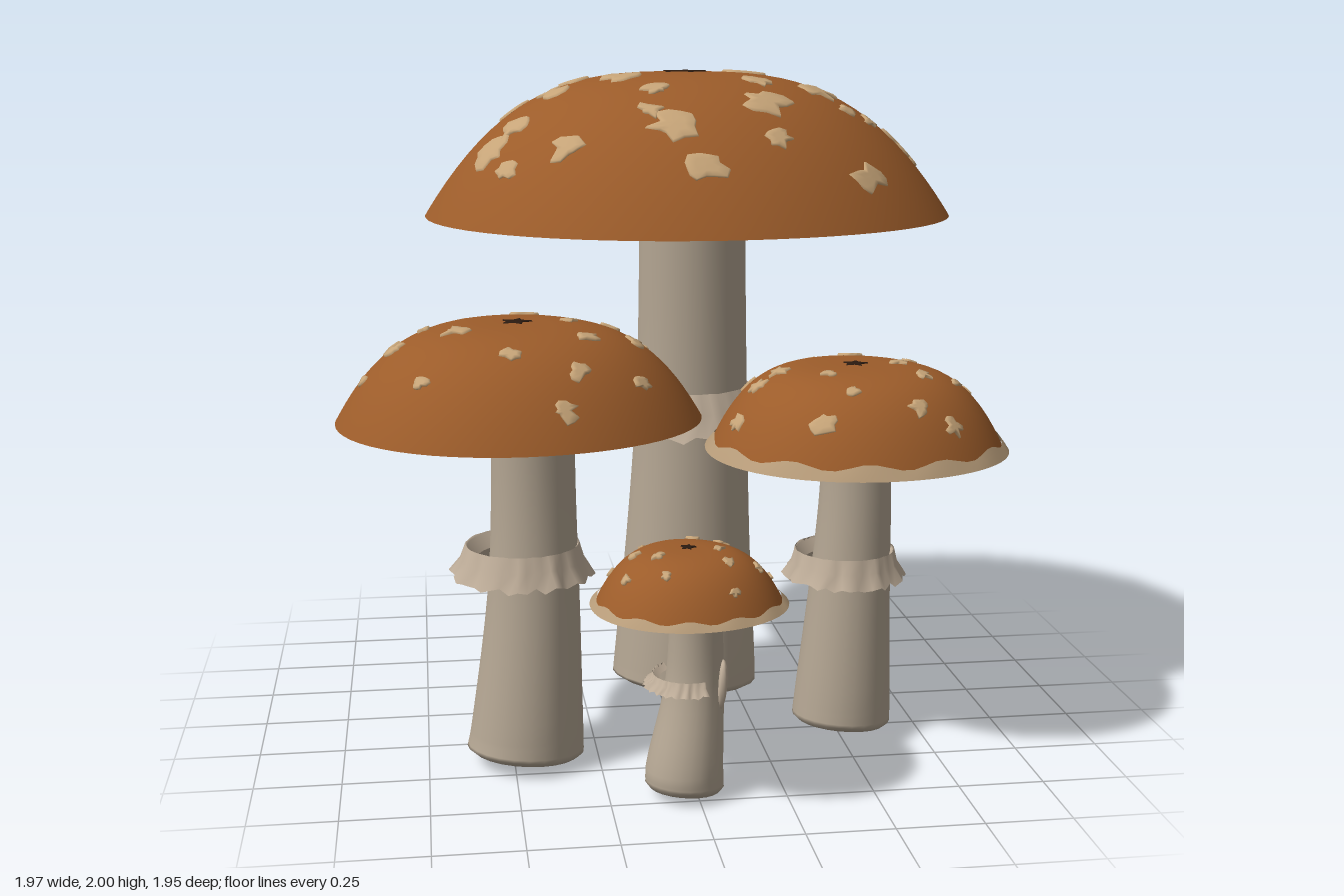
import * as THREE from 'three';
import { mergeGeometries } from 'three/addons/utils/BufferGeometryUtils.js';

const TAU = Math.PI * 2;
const mat = (color, side = THREE.FrontSide) => new THREE.MeshStandardMaterial({ color, side });
const MATS = {
  cap: mat(0x9c5c2a),
  under: mat(0xb3a796),
  stem: mat(0xb3a592),
  ring: mat(0xbcab97, THREE.DoubleSide),
  wart: mat(0xc6a478, THREE.DoubleSide),
  rim: mat(0xb59a78, THREE.DoubleSide),
  dark: mat(0x2a1a10, THREE.DoubleSide),
};

let seed = 7;
const rand = () => (seed = (seed * 16807) % 2147483647) / 2147483647;
const range = (a, b) => a + (b - a) * rand();

// Skin of rows (v, bottom to top) and columns (u, around); fn(u, v) gives [x, y, z]
function skin(cols, rows, fn, closed = true) {
  const pos = [], index = [];
  const n = closed ? cols : cols + 1;
  for (let j = 0; j <= rows; j++)
    for (let i = 0; i < n; i++) pos.push(...fn(i / cols, j / rows, i, j));
  for (let j = 0; j < rows; j++)
    for (let i = 0; i < cols; i++) {
      const k = (i + 1) % n;
      const a = j * n + i, b = j * n + k, c = a + n, d = b + n;
      index.push(a, c, b, b, c, d);
    }
  const g = new THREE.BufferGeometry();
  g.setAttribute('position', new THREE.Float32BufferAttribute(pos, 3));
  g.setIndex(index);
  g.computeVertexNormals();
  return g;
}

function add(group, name, geometry, material) {
  const mesh = new THREE.Mesh(geometry, material);
  mesh.name = name;
  group.add(mesh);
}

// c: cap centre and rim height, R and H: cap size, p: roundness, stem rows: [x, y, z, radius]
const MUSHROOMS = [
  { name: 'largeMushroom', c: [0.081, 1.56, -0.161], R: 0.81, H: 0.433, p: 3.05, warts: 38,
    stem: [[0.09, 0.035, -0.185, 0.235], [0.092, 0.1, -0.185, 0.232], [0.103, 0.5, -0.19, 0.202], [0.115, 1, -0.195, 0.178], [0.115, 1.7, -0.195, 0.165]],
    ring: { c: [0.085, -0.19], y0: 0.88, y1: 1.01, inner: 0.175, top: 0.21, bottom: 0.29 } },
  { name: 'leftMushroom', c: [-0.475, 1.04, 0.395], R: 0.517, H: 0.272, p: 3.45, warts: 20,
    stem: [[-0.465, 0.035, 0.38, 0.172], [-0.46, 0.1, 0.38, 0.166], [-0.435, 0.5, 0.365, 0.135], [-0.43, 0.8, 0.355, 0.123], [-0.43, 1.13, 0.355, 0.12]],
    ring: { c: [-0.465, 0.37], y0: 0.57, y1: 0.66, inner: 0.13, top: 0.165, bottom: 0.205 } },
  { name: 'rightMushroom', c: [0.53, 0.9, 0.3], R: 0.437, H: 0.25, p: 4, warts: 18, paleRim: true,
    stem: [[0.517, 0.035, 0.26, 0.15], [0.52, 0.1, 0.26, 0.147], [0.54, 0.5, 0.255, 0.12], [0.55, 0.75, 0.255, 0.108], [0.547, 0.99, 0.255, 0.1]],
    ring: { c: [0.515, 0.275], y0: 0.495, y1: 0.58, inner: 0.12, top: 0.15, bottom: 0.182 } },
  { name: 'smallMushroom', c: [-0.028, 0.567, 0.7], R: 0.262, H: 0.155, p: 3.6, warts: 14, paleRim: true,
    stem: [[-0.035, 0.03, 0.69, 0.112], [-0.035, 0.08, 0.69, 0.11], [-0.005, 0.3, 0.665, 0.085], [0, 0.45, 0.665, 0.077], [0, 0.62, 0.675, 0.075]],
    ring: { c: [-0.025, 0.69], y0: 0.325, y1: 0.36, inner: 0.08, top: 0.1, bottom: 0.125, start: 1.2, sweep: 2.9 } },
];

function buildMushroom(m) {
  const group = new THREE.Group();
  group.name = m.name;
  const [cx, cy, cz] = m.c;
  const outline = a => m.R * (1 + 0.0167 * Math.cos(3 * a - Math.PI / 4));
  // Point on the dome at relative radius r, lifted outwards by h
  const dome = (r, a, h = 0) => {
    const d = r * outline(a) + h * r;
    return [cx + d * Math.cos(a), cy + m.H * (1 - r ** m.p) + h * (1 - r ** 4), cz + d * Math.sin(a)];
  };

  // Cap dome and hollow underside
  add(group, 'cap', skin(64, 20, (u, v) => dome(1 - v ** 1.3, u * TAU)), MATS.cap);
  add(group, 'capUnderside', skin(64, 12, (u, v) => {
    const a = u * TAU, d = v * outline(a);
    return [cx + d * Math.cos(a), cy + m.H * 0.27 * (1 - v ** 3), cz + d * Math.sin(a)];
  }), MATS.under);

  // Pale wavy lip flaring from the cap edge
  if (m.paleRim) add(group, 'capBorder', skin(72, 2, (u, v, i) =>
    dome(1 - v * (0.035 + 0.01 * Math.sin(i * 1.05)), u * TAU, 0.014 - 0.01 * v)), MATS.rim);

  // Ragged patches lying on the dome, shortened where it gets steep
  const patch = (px, pz, size, cols, spike, h) => {
    const radii = Array.from({ length: cols }, (_, i) => size * spike(i));
    const turn = Math.atan2(pz, px), squash = 1 - 0.65 * (px * px + pz * pz);
    return skin(cols, 3, (u, v, i, j) => {
      const s = radii[i] * [1, 0.92, 0.5, 0][j], f = u * TAU;
      const x = s * Math.cos(f) * squash, z = s * Math.sin(f);
      const qx = px + x * Math.cos(turn) - z * Math.sin(turn);
      const qz = pz + x * Math.sin(turn) + z * Math.cos(turn);
      return dome(Math.min(Math.hypot(qx, qz), 0.97), Math.atan2(qz, qx), [0, h, h, h][j]);
    });
  };
  const warts = [];
  for (let i = 0; i < m.warts; i++) {
    // Spread by the golden angle
    const r = 0.18 + 0.7 * Math.sqrt((i + 0.5) / m.warts), a = i * 2.4 + range(-0.3, 0.3);
    warts.push(patch(r * Math.cos(a), r * Math.sin(a), range(0.06, 0.12), 13, () => range(0.35, 1), 0.007));
  }
  add(group, 'capPatches', mergeGeometries(warts), MATS.wart);
  add(group, 'crownMark', patch(0, 0, 0.09, 10, i => (i % 2 ? 0.45 : 1), 0.004), MATS.dark);

  // Gently bent stem with a slanted, rounded foot
  const axis = new THREE.CatmullRomCurve3(m.stem.map(s => new THREE.Vector3(s[0], s[1], s[2])));
  const widths = new THREE.CatmullRomCurve3(m.stem.map(s => new THREE.Vector3(s[3], s[1], 0)));
  add(group, 'stem', skin(24, 22, (u, v, i, j) => {
    const t = Math.max(0, j - 2) / 20, a = u * TAU;
    const p = axis.getPoint(t);
    const r = widths.getPoint(t).x * (j === 0 ? 0 : j === 1 ? 0.9 : 1);
    const slant = -0.08 * (1 - Math.min(1, t * 4)) * r * (Math.cos(a) - Math.sin(a));
    return [p.x + r * Math.cos(a), p.y + slant + (j < 2 ? -0.014 : 0), p.z + r * Math.sin(a)];
  }), MATS.stem);

  // Pleated skirt around the stem
  const k = m.ring, sweep = k.sweep ?? TAU, whole = !k.sweep;
  const hem = Array.from({ length: 49 }, () => range(-1, 1));
  add(group, 'skirt', skin(48, 4, (u, v, i, j) => {
    const a = (k.start ?? 0) + u * sweep;
    const w = [1, 0.5, 0.1, 0, 0][j];
    const r = [k.bottom, (k.bottom + k.top) / 2 - 0.008, k.top, k.top * 0.97, k.inner][j];
    const y = [k.y0, (k.y0 + k.y1) / 2, k.y1, k.y1 - 0.005, k.y0 + (k.y1 - k.y0) * 0.55][j];
    const fold = w * (0.04 * Math.sin(12 * u * TAU) + 0.02 * hem[i]) * r;
    return [k.c[0] + (r + fold) * Math.cos(a), y + w * (k.y1 - k.y0) * 0.12 * hem[i], k.c[1] + (r + fold) * Math.sin(a)];
  }, whole), MATS.ring);
  return group;
}

export function createModel() {
  const model = new THREE.Group();
  model.name = 'mushroomCluster';
  MUSHROOMS.forEach(m => model.add(buildMushroom(m)));

  // Torn skirt flap hanging on the side of the small stem
  const flap = new THREE.Mesh(new THREE.SphereGeometry(1, 12, 8), MATS.ring);
  flap.name = 'tornSkirtFlap';
  flap.scale.set(0.018, 0.078, 0.038);
  flap.position.set(0.066, 0.315, 0.697);
  flap.rotation.z = -0.1;
  model.add(flap);
  return model;
}
